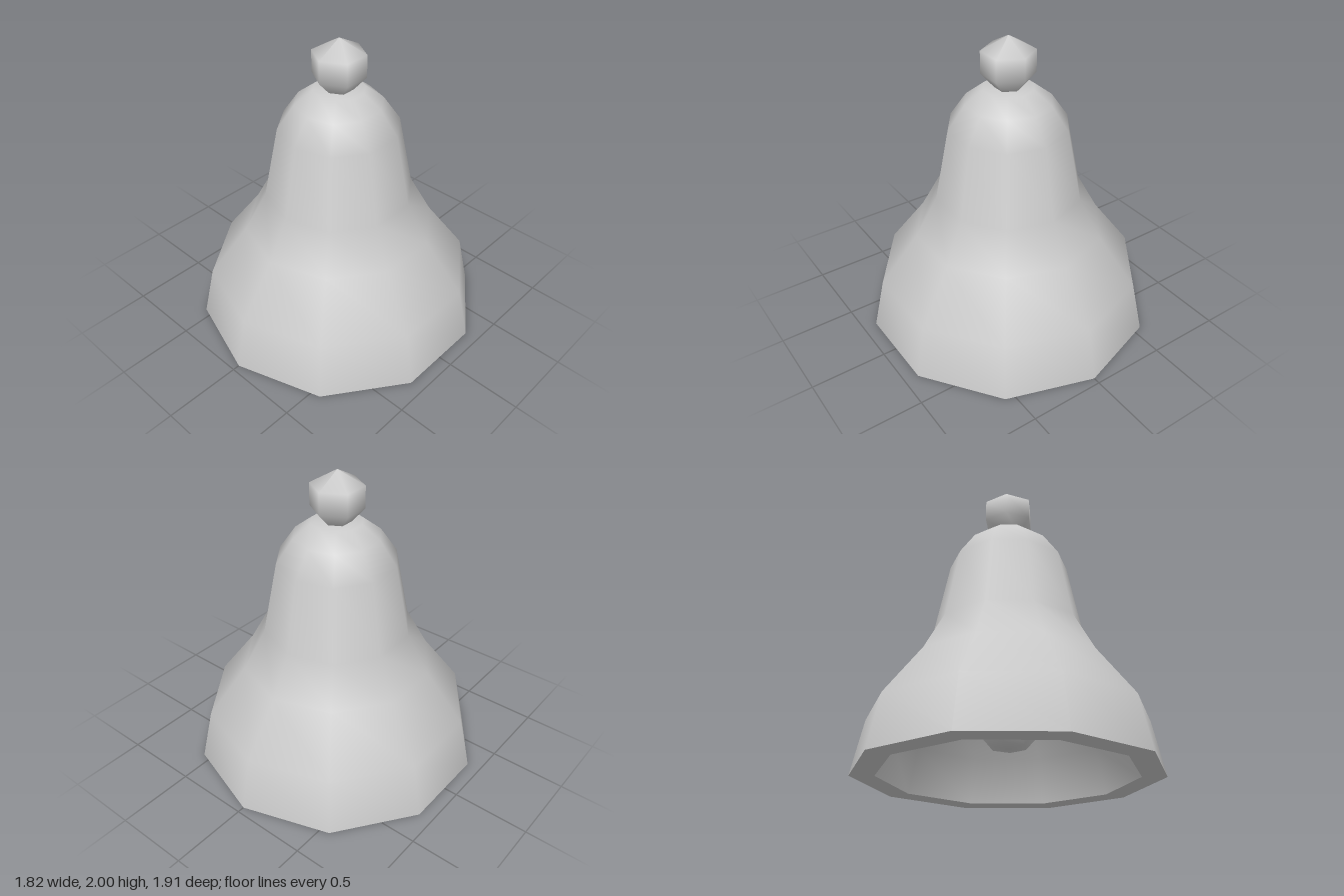
import * as THREE from 'three';

const material = new THREE.MeshStandardMaterial({ color: 0xcccccc });

// Faceted turned part with smooth normals; profile is [radius, height] pairs
function turned(name, profile, sides) {
  const points = profile.map(([r, y]) => new THREE.Vector2(r, y));
  const mesh = new THREE.Mesh(new THREE.LatheGeometry(points, sides), material);
  mesh.name = name;
  return mesh;
}

export function createModel() {
  const group = new THREE.Group();
  group.name = 'bell';

  // Bell wall: outside runs upward, inside runs downward, rim joins them
  const outer = [[0.955, 0], [0.88, 0.345], [0.63, 0.68], [0.485, 0.945],
    [0.39, 1.42], [0.28, 1.58], [0.165, 1.67], [0, 1.67]];
  const inner = [[0, 1.52], [0.15, 1.48], [0.25, 1.36], [0.34, 0.9],
    [0.49, 0.61], [0.73, 0.29], [0.8, 0]];
  group.add(turned('bellOutside', outer, 10));
  group.add(turned('bellInside', inner, 10));
  group.add(turned('bellRim', [[0.8, 0], [0.955, 0]], 10));

  // Six-sided ball, used for the top knob and the larger clapper
  const ball = [[0, -0.18], [0.08, -0.173], [0.17, -0.073], [0.17, 0.073], [0, 0.167]];
  const knob = turned('knob', ball, 6);
  knob.position.y = 1.833;
  const clapper = turned('clapper', ball, 6);
  clapper.scale.setScalar(1.47);
  clapper.position.y = 0.43;
  group.add(knob, clapper);

  // Rod carrying the clapper
  group.add(turned('clapperRod', [[0.05, 0.6], [0.05, 1.53]], 6));
  return group;
}
